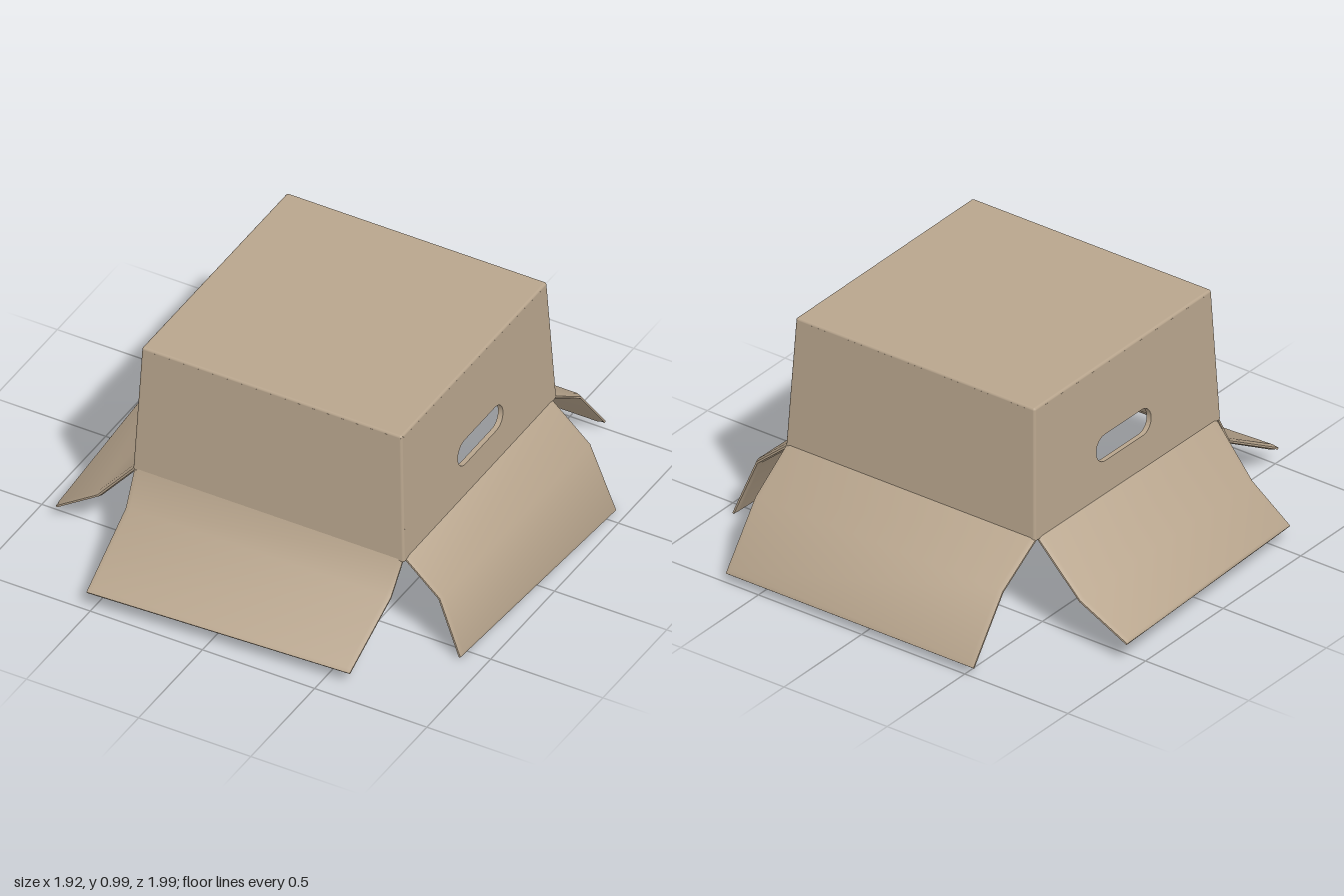
import * as THREE from 'three';
import { toCreasedNormals } from 'three/addons/utils/BufferGeometryUtils.js';

const T = 0.022; // board thickness
const material = new THREE.MeshStandardMaterial({ color: 0xb8a58d, side: THREE.DoubleSide });
const V = (p) => new THREE.Vector3(...p);

function addMesh(parent, geometry, name) {
  const mesh = new THREE.Mesh(geometry, material);
  mesh.name = name;
  parent.add(mesh);
  return mesh;
}

// Flat board between four corners, seen from outside; may carry a slot-shaped hand hole.
function boardGeometry(bl, br, tl, tr, hole) {
  const W = bl.distanceTo(br), H = bl.distanceTo(tl);
  const shape = new THREE.Shape([[0, 0], [W, 0], [W, H], [0, H]].map((p) => new THREE.Vector2(...p)));
  if (hole) {
    const { u, v, half, r } = hole;
    const slot = new THREE.Path();
    slot.absarc(u - half, v, r, Math.PI / 2, Math.PI * 1.5);
    slot.absarc(u + half, v, r, -Math.PI / 2, Math.PI / 2);
    slot.closePath();
    shape.holes.push(slot);
  }
  const geometry = new THREE.ExtrudeGeometry(shape, { depth: T, bevelEnabled: false, curveSegments: 6 });
  const normal = br.clone().sub(bl).cross(tl.clone().sub(bl)).normalize();
  const pos = geometry.attributes.position;
  for (let i = 0; i < pos.count; i++) {
    const u = pos.getX(i) / W, v = pos.getY(i) / H;
    const p = bl.clone().lerp(br, u).lerp(tl.clone().lerp(tr, u), v);
    p.addScaledVector(normal, pos.getZ(i) - T / 2);
    pos.setXYZ(i, p.x, p.y, p.z);
  }
  return toCreasedNormals(geometry, 0.6);
}

// Rounded fold along an edge between two boards
function addFold(parent, a, b, name) {
  const dir = b.clone().sub(a);
  const fold = addMesh(parent, new THREE.CylinderGeometry(T / 2, T / 2, dir.length(), 12), name);
  fold.position.copy(a).add(b).multiplyScalar(0.5);
  fold.quaternion.setFromUnitVectors(new THREE.Vector3(0, 1, 0), dir.normalize());
}

// Bent flap: rows run from the hinge to the tip, each with a left and a right end.
function flapGeometry(hinge, bend, tip) {
  const rows = [hinge, bend, tip].map((r) => r.map(V));
  rows.splice(2, 0, [0, 1].map((k) => rows[1][k].clone().lerp(rows[2][k], 0.95)));
  const columns = [0, 0.017, 0.983, 1];
  const at = (i, j) => rows[j][0].clone().lerp(rows[j][1], columns[i]);
  const geometry = new THREE.BoxGeometry(1, 1, 1, 3, 3, 1);
  const pos = geometry.attributes.position;
  for (let n = 0; n < pos.count; n++) {
    const i = Math.round((pos.getX(n) + 0.5) * 3);
    const j = Math.round((0.5 - pos.getY(n)) * 3);
    const across = at(3, j).sub(at(0, j));
    const up = at(i, Math.max(j - 1, 0)).sub(at(i, j)).normalize();
    up.add(at(i, j).sub(at(i, Math.min(j + 1, 3))).normalize());
    const normal = across.cross(up).normalize();
    // Worn, thinner edges at the sides and the tip
    const thick = i === 0 || i === 3 || j === 3 ? T * 0.35 : T;
    const p = at(i, j).addScaledVector(normal, pos.getZ(n) * thick);
    pos.setXYZ(n, p.x, p.y, p.z);
  }
  return toCreasedNormals(geometry, 0.9);
}

export function createModel() {
  const group = new THREE.Group();
  group.name = 'openBox';

  // Corners in order: front right, front left, back left, back right
  const top = [[-0.505, 0.989, 0.56], [0.633, 0.989, 0.56], [0.633, 0.989, -0.56], [-0.505, 0.989, -0.56]].map(V);
  const rim = [[-0.53, 0.42, 0.585], [0.657, 0.42, 0.585], [0.657, 0.433, -0.592], [-0.53, 0.433, -0.592]].map(V);

  // Walls, folds and rounded top corners
  const names = ['front', 'left', 'back', 'right'];
  names.forEach((name, i) => {
    const k = (i + 1) % 4;
    const u = name === 'left' ? 0.605 : 0.572;
    const hole = i % 2 ? { u, v: 0.2, half: 0.123, r: 0.057 } : null;
    addMesh(group, boardGeometry(rim[i], rim[k], top[i], top[k], hole), name + 'Wall');
    addFold(group, top[i], top[k], name + 'TopFold');
    addFold(group, rim[i], rim[k], name + 'RimFold');
    addFold(group, rim[i], top[i], name + 'CornerFold');
    addMesh(group, new THREE.SphereGeometry(T / 2, 12, 8), name + 'TopCorner').position.copy(top[i]);
    addMesh(group, new THREE.SphereGeometry(T / 2, 12, 8), name + 'RimCorner').position.copy(rim[i]);
  });

  // Closed panel on top
  addMesh(group, boardGeometry(top[0], top[1], top[3], top[2]), 'topPanel');

  // Four splayed flaps around the open rim
  const flaps = {
    front: [
      [[-0.535, 0.42, 0.585], [0.66, 0.42, 0.585]],
      [[-0.53, 0.275, 0.665], [0.645, 0.275, 0.655]],
      [[-0.52, 0.085, 0.993], [0.61, 0.065, 0.918]],
    ],
    left: [
      [[0.657, 0.42, 0.575], [0.657, 0.43, -0.575]],
      [[0.81, 0.275, 0.57], [0.832, 0.28, -0.57]],
      [[0.897, 0.017, 0.562], [0.95, 0.008, -0.565]],
    ],
    back: [
      [[0.665, 0.433, -0.592], [-0.54, 0.433, -0.592]],
      [[0.663, 0.293, -0.8], [-0.535, 0.293, -0.8]],
      [[0.66, 0.043, -0.995], [-0.54, 0.043, -0.995]],
    ],
    right: [
      [[-0.53, 0.43, -0.575], [-0.53, 0.42, 0.575]],
      [[-0.735, 0.215, -0.572], [-0.71, 0.205, 0.57]],
      [[-0.96, 0.098, -0.567], [-0.9, 0.075, 0.562]],
    ],
  };
  for (const name of names) addMesh(group, flapGeometry(...flaps[name]), name + 'Flap');

  return group;
}
